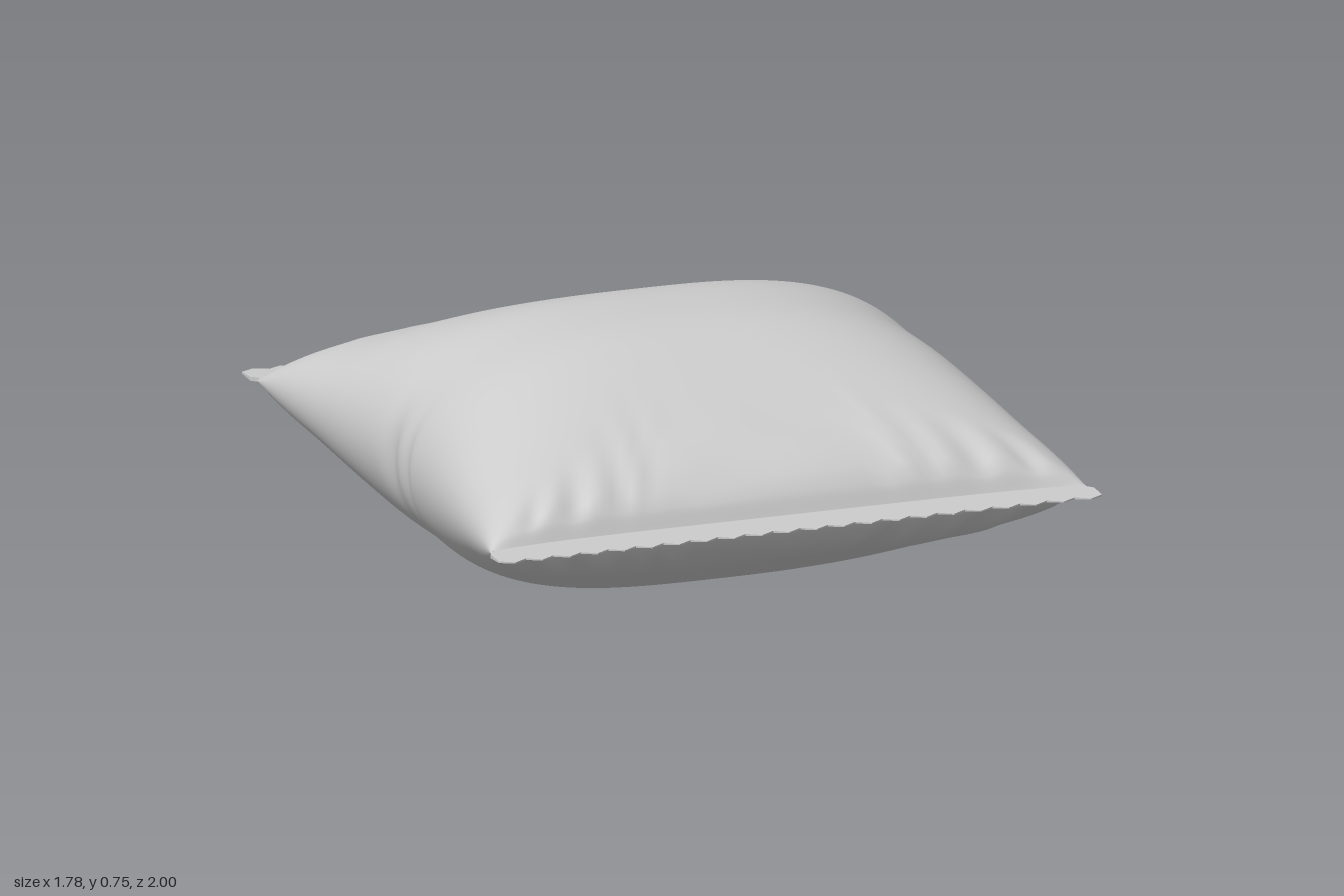
import * as THREE from 'three';
import { mergeVertices } from 'three/addons/utils/BufferGeometryUtils.js';

const MID = 0.378; // height of the seal plane
const material = new THREE.MeshStandardMaterial({ color: 0xcccccc, side: THREE.DoubleSide });

// Half height along the bag, from the middle (0) to the seal (1)
const PROFILE = [[0, 0.375], [0.22, 0.362], [0.45, 0.302], [0.67, 0.222], [0.84, 0.16],
  [0.93, 0.108], [0.975, 0.06], [1, 0.008]];

function halfHeight(t) {
  let i = 0;
  while (i < PROFILE.length - 2 && t > PROFILE[i + 1][0]) i++;
  const slope = (k) => {
    if (k === 0) return 0;
    const a = PROFILE[k - 1], b = PROFILE[Math.min(k + 1, PROFILE.length - 1)];
    return (b[1] - a[1]) / (b[0] - a[0]);
  };
  const [x0, y0] = PROFILE[i], [x1, y1] = PROFILE[i + 1];
  const d = x1 - x0, s = (t - x0) / d, s2 = s * s, s3 = s2 * s;
  return (2 * s3 - 3 * s2 + 1) * y0 + (s3 - 2 * s2 + s) * d * slope(i)
    + (3 * s2 - 2 * s3) * y1 + (s3 - s2) * d * slope(i + 1);
}

// Gathers running in from each seal: x at the seal, length, depth, width, sideways lean
const GATHERS = [
  [-0.76, 0.2, 0.018, 0.035, 0.5], [-0.62, 0.28, 0.022, 0.04, 0.3], [-0.47, 0.45, 0.016, 0.035, 0.15],
  [-0.36, 0.55, 0.02, 0.03, 0.12], [-0.24, 0.6, 0.016, 0.03, 0.06], [-0.1, 0.45, 0.01, 0.025, 0],
  [0.05, 0.5, 0.01, 0.025, 0], [0.18, 0.65, 0.018, 0.03, -0.06], [0.32, 0.55, 0.02, 0.035, -0.2],
  [0.46, 0.35, 0.014, 0.03, -0.2], [0.6, 0.28, 0.022, 0.04, -0.3], [0.76, 0.2, 0.018, 0.035, -0.5],
];

function gatherDepth(x, t) {
  const d = 1 - t;
  let sum = 0;
  for (const [x0, length, depth, width, lean] of GATHERS) {
    if (d > length) continue;
    const fade = Math.min(1, d / 0.06) * (1 - d / length) ** 1.3;
    const off = (x - x0 - lean * d) / width;
    sum += depth * fade * (Math.exp(-off * off) - 0.35 * Math.exp(-((off - 1.7) ** 2)));
  }
  return sum;
}

// Puffed body: superellipse cross-sections swept from back seal to front seal
function bodyGeometry() {
  const around = 200, along = 160;
  const geo = new THREE.PlaneGeometry(1, 1, around, along);
  const pos = geo.attributes.position;
  for (let i = 0; i < pos.count; i++) {
    const col = i % (around + 1), row = Math.floor(i / (around + 1));
    const a = (col % around) / around * Math.PI * 2;
    const v = Math.sin((row / along - 0.5) * Math.PI); // denser rows towards the seals
    const t = Math.abs(v), c = Math.cos(a), s = Math.sin(a);
    const power = 2.7 + 3 * t * t;
    const u = Math.sign(c) * Math.abs(c) ** (2 / power);
    const z = v * (0.865 + 0.03 * u ** 6);
    let x = u * (0.812 + 0.068 * t ** 1.3);
    let y = s * halfHeight(t);
    y -= Math.sign(s) * gatherDepth(x, t * Math.sign(1)) * Math.min(1, Math.abs(y) / 0.06);

    // Pinched crease halfway along each side
    const side = Math.abs(u) ** 6;
    if (u > 0) {
      x -= side * 0.035 * Math.exp(-Math.abs(z - 0.1 * y) / 0.06) * Math.exp(-((y / 0.18) ** 2));
    } else {
      const dent = Math.exp(-(((z + 0.06) / 0.045) ** 2)) + 0.7 * Math.exp(-(((z - 0.06) / 0.03) ** 2));
      x += side * 0.02 * dent * Math.exp(-((y / 0.15) ** 2));
    }
    pos.setXYZ(i, x, MID + y, z);
  }
  // Weld the ring so that shading is continuous
  geo.deleteAttribute('uv');
  geo.deleteAttribute('normal');
  const welded = mergeVertices(geo, 1e-5);
  welded.computeVertexNormals();
  return welded;
}

// Flat seal strip with a zigzag cut edge
function sealGeometry() {
  const teeth = 22, half = 0.89, pitch = 2 * half / teeth;
  const shape = new THREE.Shape();
  shape.moveTo(-0.87, 0.84);
  shape.lineTo(-0.875, 0.9);
  shape.lineTo(-half, 0.915);
  for (let i = 0; i < teeth; i++) {
    shape.lineTo(-half + i * pitch, 0.977);
    shape.lineTo(-half + (i + 0.5) * pitch, 1);
  }
  shape.lineTo(half, 0.977);
  shape.lineTo(half, 0.915);
  shape.lineTo(0.875, 0.9);
  shape.lineTo(0.87, 0.84);
  shape.closePath();
  const geo = new THREE.ExtrudeGeometry(shape, { depth: 1, bevelEnabled: false });
  geo.translate(0, 0, -0.5).rotateX(Math.PI / 2);
  // Thin the strip towards its cut edge
  const pos = geo.attributes.position;
  for (let i = 0; i < pos.count; i++) {
    const thickness = THREE.MathUtils.mapLinear(pos.getZ(i), 0.84, 1, 0.018, 0.003);
    pos.setY(i, MID + pos.getY(i) * thickness);
  }
  geo.computeVertexNormals();
  return geo;
}

export function createModel() {
  const group = new THREE.Group();
  group.name = 'pillowBag';

  const body = new THREE.Mesh(bodyGeometry(), material);
  body.name = 'body';
  group.add(body);

  const seal = sealGeometry();
  for (const [name, turn] of [['frontSeal', 0], ['backSeal', Math.PI]]) {
    const strip = new THREE.Mesh(seal, material);
    strip.name = name;
    strip.rotation.y = turn;
    group.add(strip);
  }
  return group;
}
